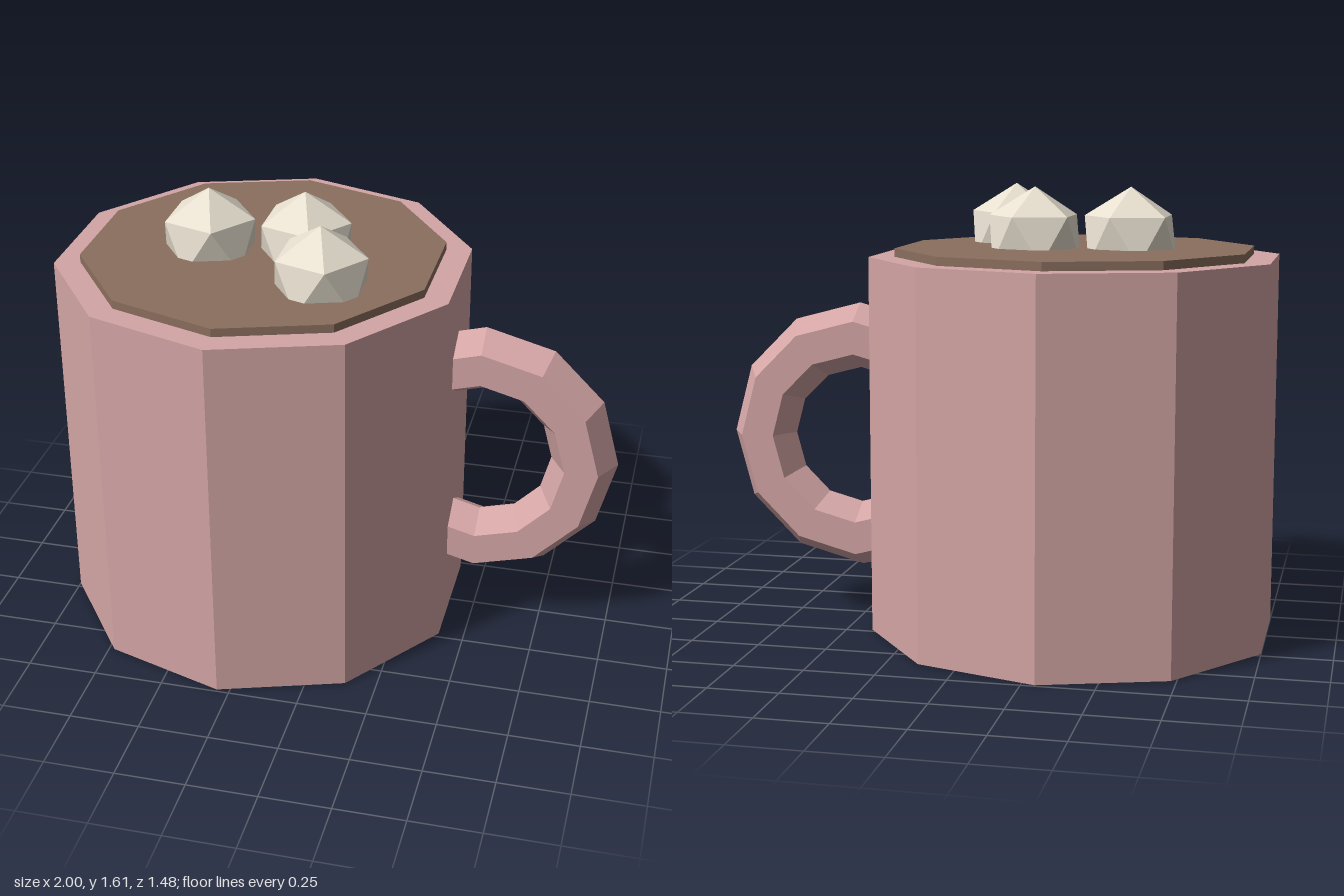
import * as THREE from 'three';

export function createModel() {
  const model = new THREE.Group();
  const material = (name, color) => {
    const m = new THREE.MeshStandardMaterial({ color, flatShading: true });
    m.name = name;
    return m;
  };
  const ceramic = material('dusty pink ceramic', 0xd4a5a5);
  const cocoa = material('cocoa brown', 0x8b6f5e);
  const cream = material('marshmallow cream', 0xe8e0d0);

  const add = (name, geometry, mat, x, y, z) => {
    const mesh = new THREE.Mesh(geometry, mat);
    mesh.name = name;
    mesh.position.set(x, y, z);
    model.add(mesh);
    return mesh;
  };

  // Ten-sided mug body and the drink standing just proud of the rim
  const mugX = -0.296;
  add('mugBody', new THREE.CylinderGeometry(0.74, 0.74, 1.36, 10), ceramic, mugX, 0.68, 0);
  add('drink', new THREE.CylinderGeometry(0.647, 0.647, 0.06, 10), cocoa, mugX, 1.36, 0);

  // Hexagonal-section handle; the open ends are buried in the mug wall
  const handle = new THREE.TorusGeometry(0.373, 0.12, 6, 8, Math.PI * 4 / 3);
  handle.rotateZ(-Math.PI * 2 / 3);
  add('handle', handle, ceramic, 0.507, 0.68, 0);

  // Marshmallows: icosahedra turned to stand with one corner straight up
  const golden = (1 + Math.sqrt(5)) / 2;
  const marshmallow = new THREE.IcosahedronGeometry(0.185, 0);
  marshmallow.rotateZ(-Math.atan(1 / golden));
  const spots = [[-0.49, 0.01], [-0.153, -0.033], [-0.03, 0.24]];
  spots.forEach(([x, z], i) => add('marshmallow' + (i + 1), marshmallow, cream, x, 1.42, z));

  return model;
}
